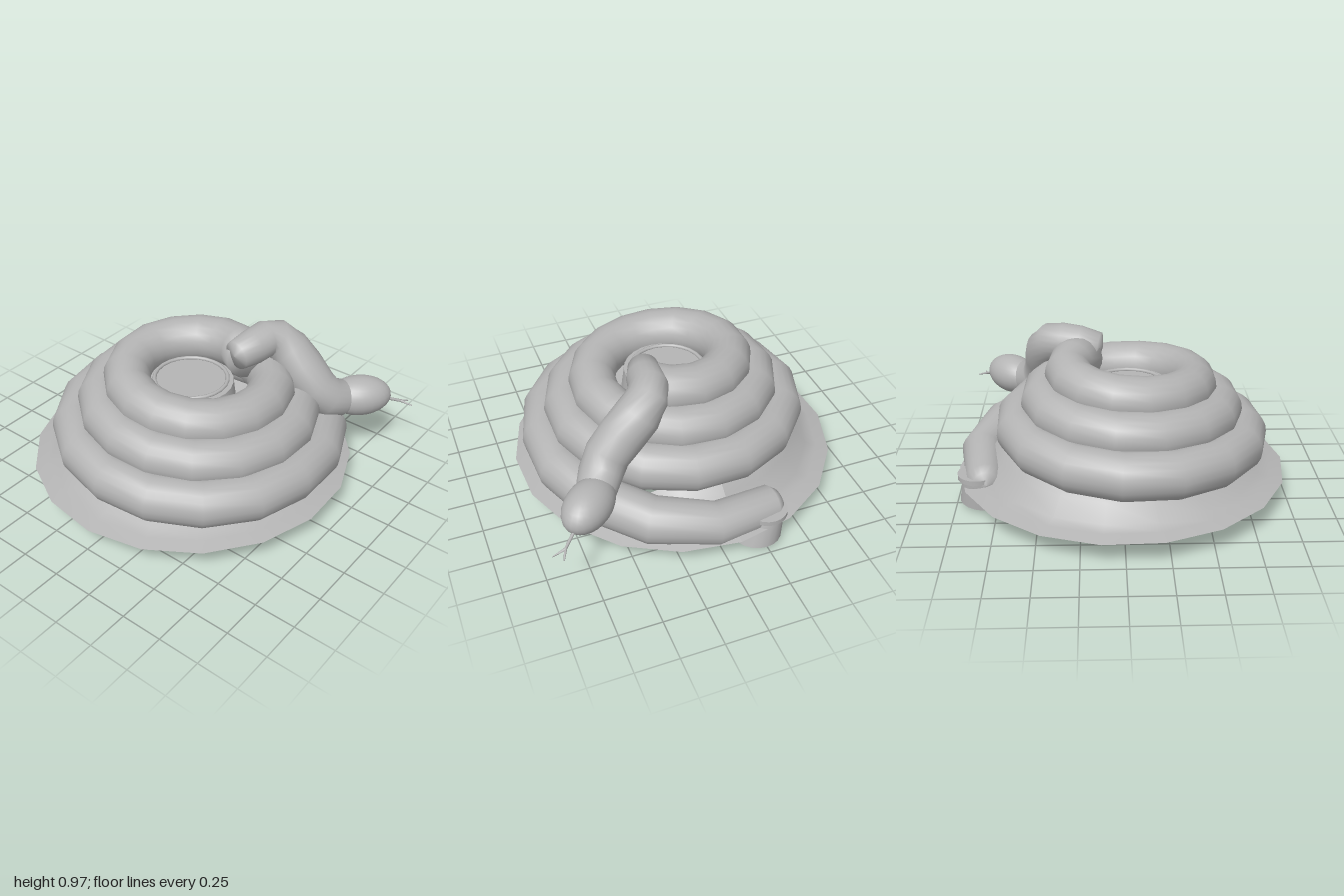
import * as THREE from 'three';

const grey = new THREE.MeshStandardMaterial({ color: 0xb4b4b4, side: THREE.DoubleSide });
grey.name = 'light grey';

// Smooth tube through centre points, each with its own radius
function sweep(points, radii, sides = 20) {
  const pos = [], index = [], up = new THREE.Vector3(0, 1, 0);
  points.forEach((p, i) => {
    const t = points[Math.min(i + 1, points.length - 1)].clone()
      .sub(points[Math.max(i - 1, 0)]).normalize();
    const side = t.clone().cross(up).normalize();
    const lift = side.clone().cross(t);
    for (let j = 0; j < sides; j++) {
      const a = j / sides * Math.PI * 2;
      const v = p.clone().addScaledVector(side, Math.cos(a) * radii[i])
        .addScaledVector(lift, Math.sin(a) * radii[i]);
      pos.push(v.x, v.y, v.z);
      if (i < points.length - 1) {
        const A = i * sides + j, B = i * sides + (j + 1) % sides;
        index.push(A, A + sides, B, B, A + sides, B + sides);
      }
    }
  });
  const g = new THREE.BufferGeometry();
  g.setAttribute('position', new THREE.Float32BufferAttribute(pos, 3));
  g.setIndex(index);
  g.computeVertexNormals();
  return g;
}

const V = (x, y, z) => new THREE.Vector3(x, y, z);
const profile = (list) => list.map(([r, y]) => new THREE.Vector2(r, y));

export function createModel() {
  const group = new THREE.Group();
  const add = (name, geometry, x = 0, y = 0, z = 0) => {
    const m = new THREE.Mesh(geometry, grey);
    m.name = name;
    m.position.set(x, y, z);
    group.add(m);
    return m;
  };

  // Coiled body: half turns, coil radius, height, thickness
  const keys = [
    [-0.12, 0.925, 0.185, 0.115], [0, 0.92, 0.21, 0.125], [0.15, 0.87, 0.255, 0.14],
    [0.3, 0.80, 0.29, 0.14], [0.5, 0.74, 0.32, 0.14], [1, 0.70, 0.35, 0.14],
    [1.5, 0.735, 0.405, 0.14], [2, 0.68, 0.44, 0.14], [2.5, 0.59, 0.48, 0.14],
    [3, 0.54, 0.52, 0.14], [3.5, 0.57, 0.57, 0.14], [4, 0.52, 0.60, 0.14],
    [4.5, 0.43, 0.63, 0.14], [5, 0.38, 0.67, 0.14], [5.5, 0.41, 0.72, 0.14],
    [6, 0.37, 0.76, 0.14], [6.2, 0.34, 0.78, 0.135],
  ];
  const sample = (t) => {
    let i = 0;
    while (i < keys.length - 2 && t > keys[i + 1][0]) i++;
    const f = (t - keys[i][0]) / (keys[i + 1][0] - keys[i][0]);
    return keys[i].map((k, n) => k + (keys[i + 1][n] - k) * f);
  };
  const pts = [], radii = [], steps = 50;
  for (let i = 0; i <= steps; i++) {
    const [t, r, y, thick] = sample(-0.12 + 6.32 * i / steps);
    const a = t * Math.PI;
    pts.push(V(-0.05 + r * Math.cos(a), y, 0.02 + r * Math.sin(a)));
    radii.push(thick);
  }
  // Rounded tail tip and closed upper end
  pts.unshift(V(0.80, 0.185, -0.39), V(0.805, 0.185, -0.37));
  radii.unshift(0.001, 0.08);
  pts.push(pts[pts.length - 1].clone().add(V(-0.02, 0, 0.02)));
  radii.push(0.001);
  add('coiledBody', sweep(pts, radii));

  // Neck bending over the coils down to the head
  const neck = [V(0.11, 0.83, 0.2), V(0.13, 0.83, 0.2), V(0.25, 0.845, 0.23), V(0.35, 0.855, 0.245),
    V(0.42, 0.84, 0.28), V(0.46, 0.77, 0.35), V(0.475, 0.68, 0.44), V(0.49, 0.57, 0.54),
    V(0.54, 0.49, 0.6), V(0.62, 0.46, 0.65), V(0.68, 0.455, 0.69)];
  add('neck', sweep(neck, [0.001, 0.09, 0.108, 0.112, 0.12, 0.133, 0.135, 0.13, 0.125, 0.115, 0.08]));

  // Head
  const head = add('head', new THREE.SphereGeometry(1, 24, 16), 0.72, 0.455, 0.725);
  head.scale.set(0.13, 0.125, 0.2);
  head.rotation.y = Math.PI / 4;

  // Forked tongue
  const root = V(0.84, 0.42, 0.84), fork = V(0.92, 0.385, 0.915);
  [[root, fork], [fork, V(0.98, 0.365, 0.94)], [fork, V(0.935, 0.37, 0.99)]].forEach((ends, i) =>
    add(i ? 'tongueTip' : 'tongue', sweep(ends, i ? [0.009, 0.003] : [0.01, 0.009], 6)));

  // Flared foot under the tail, with a lip at its top
  const foot = new THREE.CylinderGeometry(0.115, 0.14, 0.2, 20);
  const fp = foot.attributes.position;
  for (let i = 0; i < fp.count; i++) {
    const y = fp.getY(i);
    if (y < 0) fp.setY(i, y + (fp.getX(i) + 0.14) * 0.1);
    fp.setZ(i, fp.getZ(i) - (y + 0.1) * 0.2);
  }
  foot.computeVertexNormals();
  add('tailFoot', foot, 0.84, 0.10, -0.235);
  add('tailFootLip', new THREE.CylinderGeometry(0.122, 0.122, 0.03, 20), 0.86, 0.205, -0.275);

  // Thin faceted brim, low outside and climbing with the lowest coil inside
  const brim = new THREE.LatheGeometry(
    profile([[1, 0.15], [0.92, 0.17], [0.85, 0.19], [0.77, 0.215], [0.69, 0.24]]), 18, Math.PI / 2);
  const bp = brim.attributes.position;
  for (let i = 0; i < bp.count; i++) {
    const x = bp.getX(i), z = bp.getZ(i), r = Math.hypot(x, z);
    let t = Math.atan2(z, x) / Math.PI;
    if (t < 0.2) t += 2;
    const rise = Math.max(0, t - 0.6) * 0.1;
    bp.setY(i, bp.getY(i) + rise * THREE.MathUtils.clamp((0.85 - r) / 0.12, 0, 1));
    bp.setZ(i, z * 0.98);
  }
  brim.computeVertexNormals();
  add('brim', brim, 0, 0, -0.025).rotation.y = 0.04;

  // Underside roof between the core and the lowest coil
  add('innerRoof', new THREE.LatheGeometry(profile([[0.31, 0.24], [0.45, 0.31], [0.6, 0.36]]), 24), -0.04, 0, 0);

  // Core filling the middle of the coils, flared at its foot
  add('core', new THREE.LatheGeometry(
    profile([[0, 0.17], [0.35, 0.17], [0.35, 0.17], [0.31, 0.24], [0.25, 0.67], [0.25, 0.67], [0, 0.67]]), 24), -0.04, 0, 0);
  add('coreRim', new THREE.TorusGeometry(0.22, 0.012, 8, 24).rotateX(Math.PI / 2), -0.035, 0.675, -0.01);

  return group;
}
